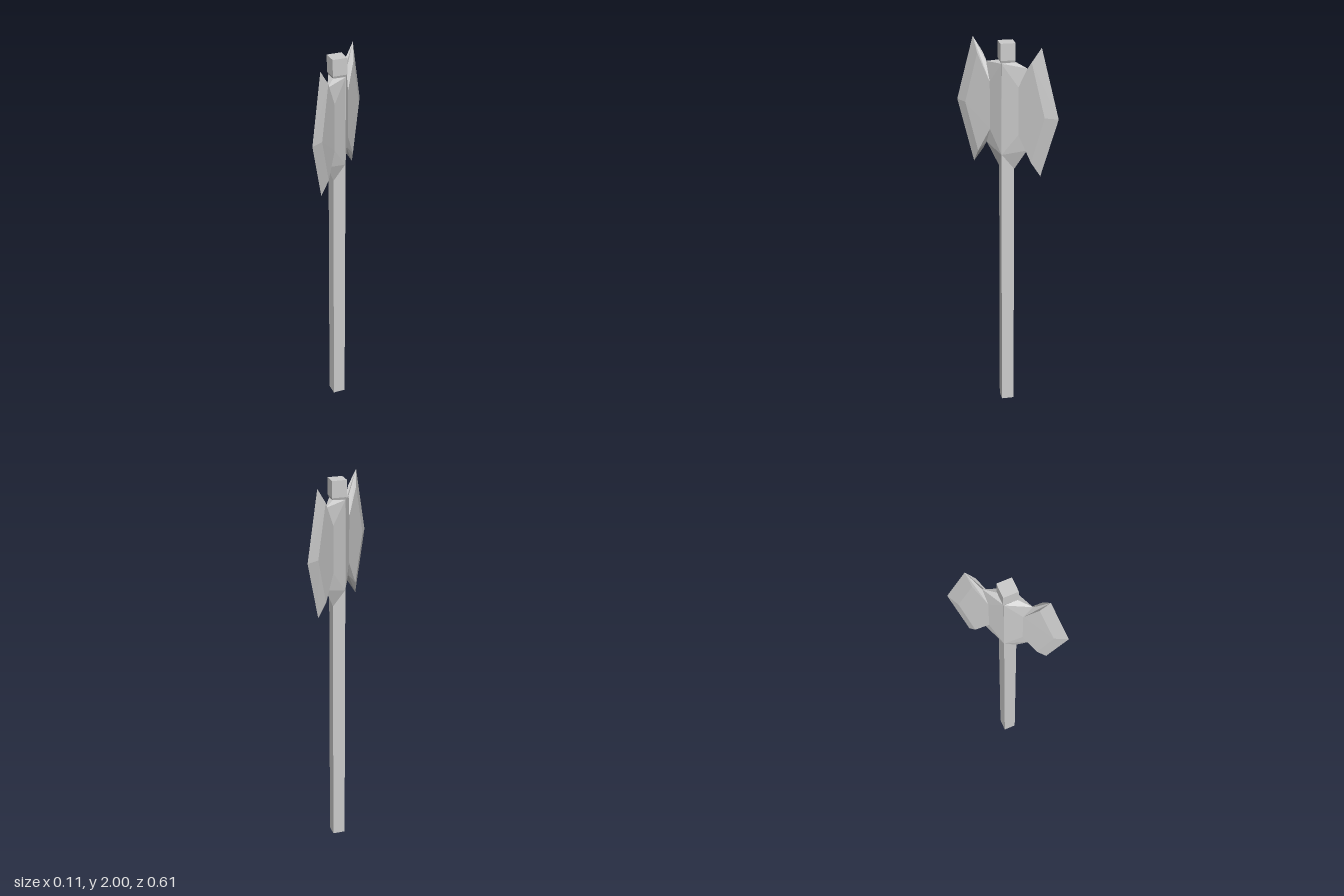
import * as THREE from 'three';

const material = () => new THREE.MeshStandardMaterial({ color: 0xcccccc, flatShading: true });

// Corners of one quarter of the axe head, as [x, y, z]
const P = {
  // raised corners of the side face
  coreTop: [0.045, 1.9, 0],
  notchTop: [0.023, 1.79, 0.085],
  hornTop: [0.022, 1.925, 0.16],
  cheek: [0.022, 1.66, 0.237],
  hornLow: [0.022, 1.415, 0.16],
  notchLow: [0.023, 1.545, 0.085],
  coreLow: [0.045, 1.43, 0],
  // thin outline on the middle plane
  collarTop: [0, 1.905, 0.045],
  valleyTop: [0, 1.885, 0.122],
  tipTop: [0, 2.0, 0.202],
  edge: [0, 1.66, 0.303],
  tipLow: [0, 1.345, 0.202],
  valleyLow: [0, 1.465, 0.122],
  collarLow: [0, 1.35, 0.045],
};

// Faces listed counter-clockwise seen from +x
const coreFaces = [
  ['coreTop', 'notchTop', 'notchLow', 'coreLow'],
  ['coreTop', 'collarTop', 'valleyTop', 'notchTop'],
  ['coreLow', 'notchLow', 'valleyLow', 'collarLow'],
];
const bladeFaces = [
  ['cheek', 'hornLow', 'notchLow', 'notchTop', 'hornTop'],
  ['notchTop', 'valleyTop', 'tipTop', 'hornTop'],
  ['hornTop', 'tipTop', 'edge', 'cheek'],
  ['cheek', 'edge', 'tipLow', 'hornLow'],
  ['hornLow', 'tipLow', 'valleyLow', 'notchLow'],
];

// Fans each face into triangles, mirrored across x and the given z sides
function facetedGeometry(faces, zSides) {
  const positions = [];
  for (const sx of [1, -1]) for (const sz of zSides) {
    for (const face of faces) {
      for (let i = 1; i < face.length - 1; i++) {
        const tri = [face[0], face[i], face[i + 1]];
        if (sx * sz < 0) tri.reverse();
        for (const name of tri) {
          const [x, y, z] = P[name];
          positions.push(x * sx, y, z * sz);
        }
      }
    }
  }
  const geometry = new THREE.BufferGeometry();
  geometry.setAttribute('position', new THREE.Float32BufferAttribute(positions, 3));
  geometry.computeVertexNormals();
  return geometry;
}

// Four-sided post with its corners on the x and z axes
function post(rTop, rBottom, y0, y1) {
  return new THREE.CylinderGeometry(rTop, rBottom, y1 - y0, 4).translate(0, (y0 + y1) / 2, 0);
}

export function createModel() {
  const axe = new THREE.Group();
  axe.name = 'battleAxe';
  const add = (name, geometry) => {
    const mesh = new THREE.Mesh(geometry, material());
    mesh.name = name;
    axe.add(mesh);
  };

  // Shaft and the cap on top of it
  add('handle', post(0.046, 0.046, 0, 1.912));
  add('capCollar', post(0.053, 0.047, 1.903, 1.915));
  add('cap', post(0.053, 0.053, 1.915, 2));

  // Central head block and the two mirrored blades
  add('headCore', facetedGeometry(coreFaces, [1, -1]));
  add('frontBlade', facetedGeometry(bladeFaces, [1]));
  add('backBlade', facetedGeometry(bladeFaces, [-1]));
  return axe;
}
